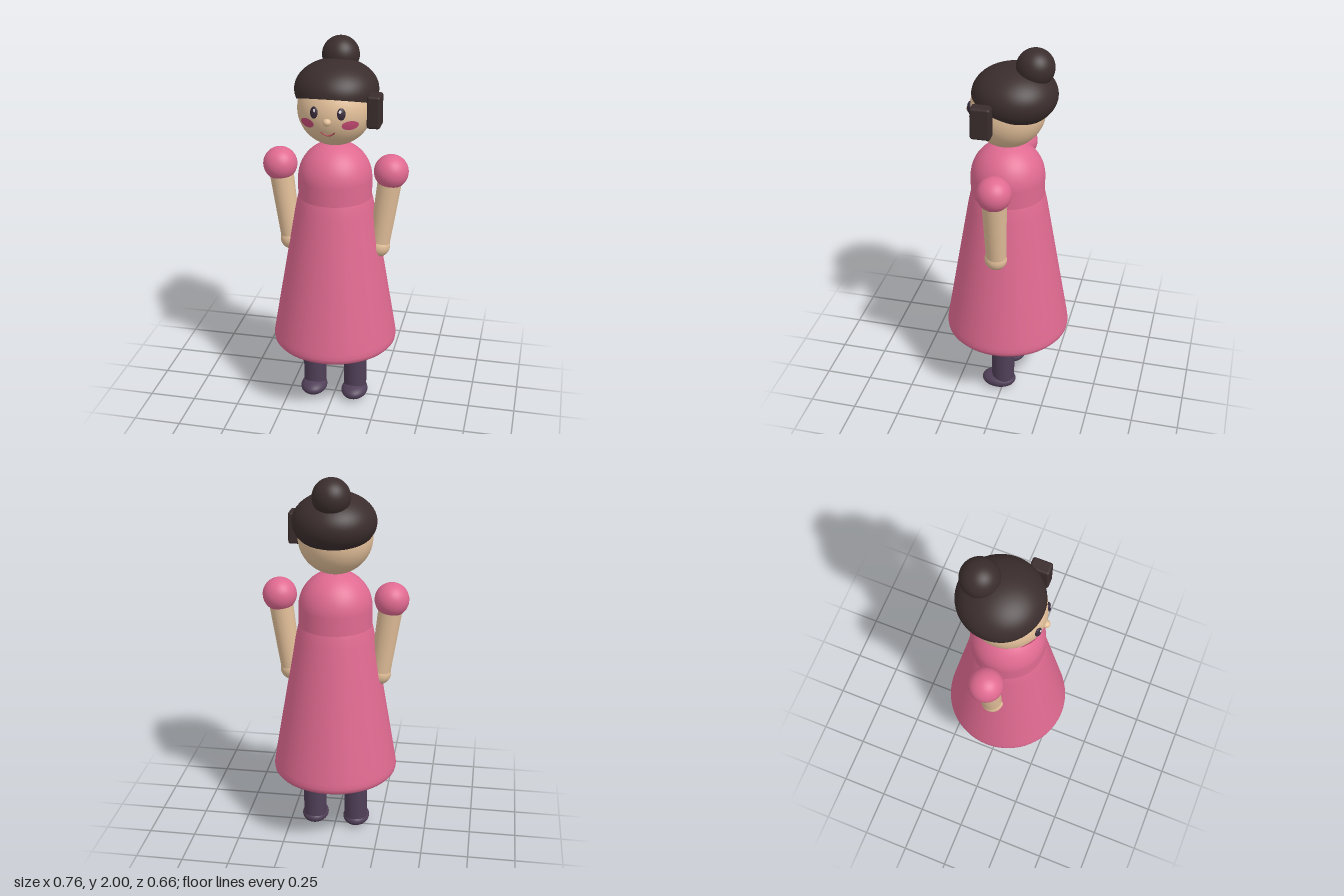
import * as THREE from 'three';
import { RoundedBoxGeometry } from 'three/addons/geometries/RoundedBoxGeometry.js';

const mat = (name, color, side = THREE.FrontSide) => {
  const m = new THREE.MeshStandardMaterial({ color, side });
  m.name = name;
  return m;
};

const HEAD_Y = 1.668, HEAD_R = 0.192;

export function createModel() {
  const model = new THREE.Group();
  model.name = 'doll';
  const pink = mat('dress pink', 0xe06a91);
  const skin = mat('skin', 0xe2bf99);
  const hair = mat('hair brown', 0x3b2d2d);
  const plum = mat('stocking plum', 0x503f58);
  const blush = mat('blush', 0xc44a74);
  const dark = mat('eye dark', 0x382c3c);
  const white = mat('eye glint', 0xf4eef0);
  const lip = mat('lip red', 0xb04a55);

  const add = (name, geometry, material, x = 0, y = 0, z = 0, parent = model) => {
    const mesh = new THREE.Mesh(geometry, material);
    mesh.name = name;
    mesh.position.set(x, y, z);
    parent.add(mesh);
    return mesh;
  };
  const ball = (rx, ry = rx, rz = rx) => new THREE.SphereGeometry(1, 40, 28).scale(rx, ry, rz);
  // Point on the face surface, in head coordinates
  const onFace = (x, y, lift = 0) =>
    new THREE.Vector3(x, y, Math.sqrt(HEAD_R ** 2 - x * x - y * y)).setLength(HEAD_R + lift);
  // Thin oval that follows the face
  const decal = (cx, cy, rx, ry, lift) => {
    const g = new THREE.RingGeometry(0.001, 1, 32, 4);
    const p = g.attributes.position;
    for (let i = 0; i < p.count; i++) {
      const v = onFace(cx + p.getX(i) * rx, cy + p.getY(i) * ry, lift);
      p.setXYZ(i, v.x, v.y, v.z);
    }
    g.computeVertexNormals();
    return g;
  };

  // Dress: domed bodice and flared skirt with a rounded hem
  const bodice = [];
  for (let i = 0; i <= 14; i++) {
    const a = (i / 14) * Math.PI / 2;
    bodice.push(new THREE.Vector2(0.192 * Math.cos(a), 1.295 + 0.192 * Math.sin(a)));
  }
  bodice[14].x = 0;
  add('bodice', new THREE.LatheGeometry([new THREE.Vector2(0.192, 1.15), ...bodice], 48), pink);
  const skirt = [[0.19, 1.205], [0.197, 1.18], [0.207, 1.13], [0.318, 0.48], [0.329, 0.415], [0.332, 0.39],
    [0.329, 0.372], [0.319, 0.36], [0.3, 0.355]].reverse().map(([x, y]) => new THREE.Vector2(x, y));
  add('skirt', new THREE.LatheGeometry(skirt, 56), pink);
  add('skirtBase', new THREE.CircleGeometry(0.3, 56).rotateX(Math.PI / 2), pink, 0, 0.355, 0);

  // Head
  const head = new THREE.Group();
  head.name = 'head';
  head.position.y = HEAD_Y;
  model.add(head);
  add('face', ball(HEAD_R), skin, 0, 0, 0, head);
  add('nose', ball(0.021, 0.019, 0.021), skin, 0, -0.02, 0.193, head);

  // Smile
  const smile = [-0.036, -0.02, 0, 0.02, 0.036].map((x) => onFace(x, -0.096 + 16 * x * x, 0.001));
  add('mouth', new THREE.TubeGeometry(new THREE.CatmullRomCurve3(smile), 24, 0.004, 8), lip, 0, 0, 0, head);

  // Hair cap: tilted cut ellipsoid with a closed underside
  const cut = 1.99;
  const shapeHair = (g) => g.rotateX(-0.45).scale(0.214, 0.15, 0.215);
  const cap = new THREE.Group();
  cap.name = 'hairCap';
  cap.position.set(0, 1.755, -0.035);
  model.add(cap);
  add('hairDome', shapeHair(new THREE.SphereGeometry(1, 56, 32, 0, Math.PI * 2, 0, cut)), hair, 0, 0, 0, cap);
  add('hairUnderside', shapeHair(new THREE.CircleGeometry(Math.sin(cut), 56).rotateX(Math.PI / 2)
    .translate(0, Math.cos(cut), 0)), hair, 0, 0, 0, cap);
  add('hairBun', ball(0.096), hair, 0, 1.904, -0.137);
  add('sideClip', new RoundedBoxGeometry(0.067, 0.165, 0.102, 2, 0.012), hair, 0.217, 1.689, 0.08);

  for (const s of [1, -1]) {
    const side = s > 0 ? 'left' : 'right';

    // Eyes and cheeks
    const eye = add(side + 'Eye', ball(0.021, 0.03, 0.01), dark, 0, 0, 0, head);
    eye.position.copy(onFace(s * 0.068, 0.022, 0.001));
    eye.lookAt(eye.position.clone().multiplyScalar(2).add(head.position));
    add(side + 'EyeGlint', decal(s * 0.068 - 0.007 * s, 0.034, 0.006, 0.008, 0.0115), white, 0, 0, 0, head);
    add(side + 'Cheek', decal(s * 0.106, -0.039, 0.037, 0.024, 0.004), blush, 0, 0, 0, head);

    // Arm: puffed sleeve, tapered arm, round hand
    add(side + 'Sleeve', ball(0.089), pink, s * 0.292, 1.345, 0);
    const top = new THREE.Vector3(s * 0.288, 1.31, 0), wrist = new THREE.Vector3(s * 0.237, 0.93, 0.004);
    const arm = add(side + 'Arm', new THREE.CylinderGeometry(0.063, 0.053, top.distanceTo(wrist), 32), skin);
    arm.position.copy(top).add(wrist).multiplyScalar(0.5);
    arm.quaternion.setFromUnitVectors(new THREE.Vector3(0, 1, 0), top.clone().sub(wrist).normalize());
    add(side + 'Hand', ball(0.059), skin, s * 0.236, 0.928, 0.006);

    // Leg and shoe
    add(side + 'Leg', new THREE.CylinderGeometry(0.064, 0.062, 0.34, 32), plum, s * 0.114, 0.22, 0);
    add(side + 'Shoe', ball(0.072, 0.043, 0.094), plum, s * 0.115, 0.043, 0.023);
  }
  return model;
}
